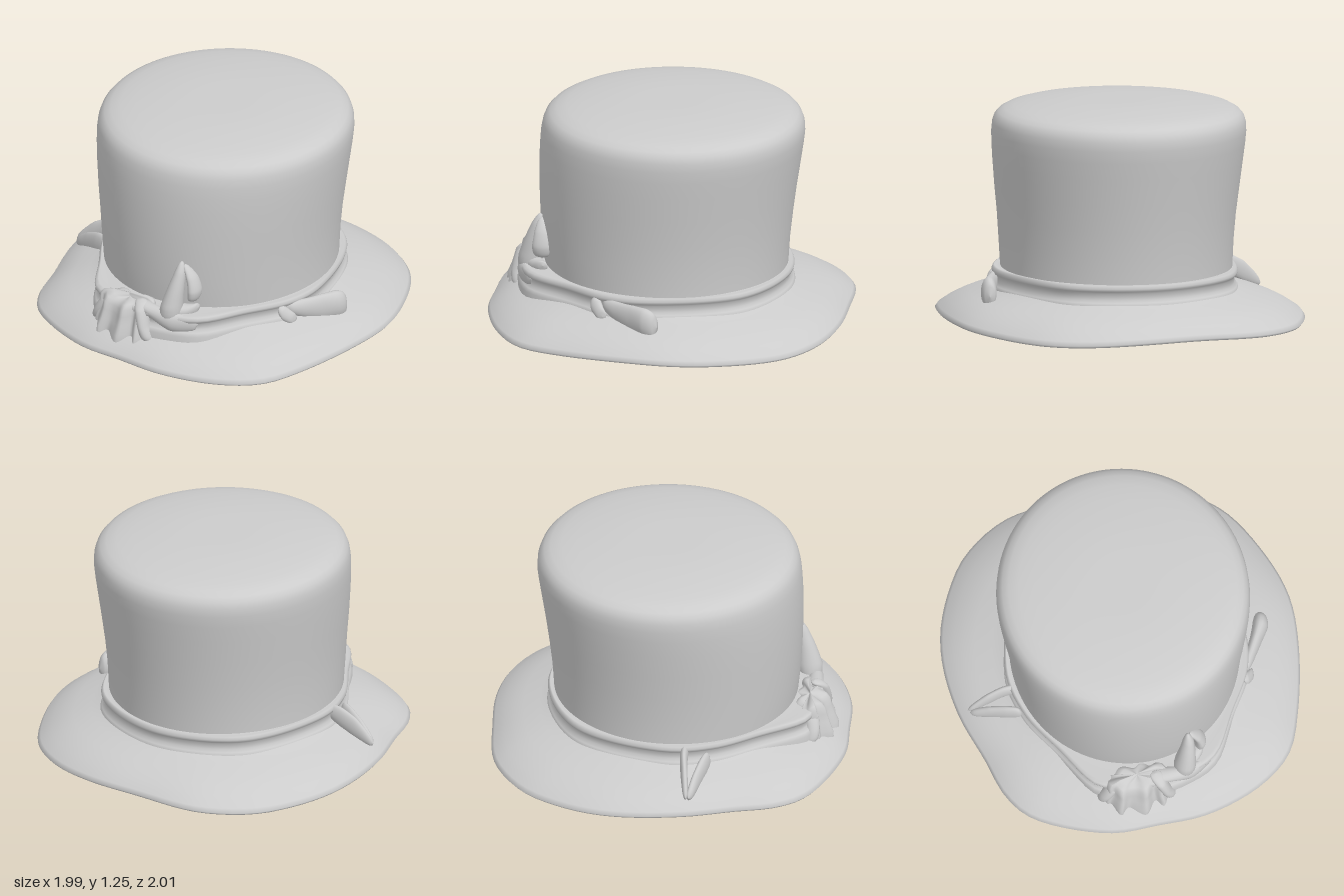
import * as THREE from 'three';

const N = 96;
const material = new THREE.MeshStandardMaterial({ color: 0xcccccc, side: THREE.DoubleSide });
const V = (x, y, z) => new THREE.Vector3(x, y, z);
const lerp = THREE.MathUtils.lerp;
const angles = Array.from({ length: N }, (_, i) => (i / N) * Math.PI * 2);

// Skin a list of closed rings (arrays of Vector3 of equal length)
function loft(name, rings) {
  const n = rings[0].length, pos = [], idx = [];
  rings.forEach(r => r.forEach(p => pos.push(p.x, p.y, p.z)));
  for (let j = 0; j < rings.length - 1; j++) {
    for (let i = 0; i < n; i++) {
      const a = j * n + i, b = j * n + (i + 1) % n;
      idx.push(a, a + n, b, b, a + n, b + n);
    }
  }
  const g = new THREE.BufferGeometry();
  g.setAttribute('position', new THREE.Float32BufferAttribute(pos, 3));
  g.setIndex(idx);
  g.computeVertexNormals();
  const mesh = new THREE.Mesh(g, material);
  mesh.name = name;
  return mesh;
}

// Plan outline through [x, z] points, resampled at equal angles
function outline(pts) {
  const curve = new THREE.CatmullRomCurve3(pts.map(([x, z]) => V(x, 0, z)), true);
  const dense = curve.getPoints(1500);
  return angles.map(t => {
    const c = Math.cos(t), s = Math.sin(t);
    let best = dense[0], top = -2;
    for (const p of dense) {
      const d = (p.x * c + p.z * s) / Math.hypot(p.x, p.z);
      if (d > top) { top = d; best = p; }
    }
    return best;
  });
}

// Crown ring: height, half width, front z and back z
const crownRing = (y, rx, front, back) => angles.map(t =>
  V(rx * Math.cos(t), y, (front + back) / 2 + (front - back) / 2 * Math.sin(t)));

const mix = (a, b, k, y) => a.map((p, i) => V(lerp(p.x, b[i].x, k), y, lerp(p.z, b[i].z, k)));

// Cloth fold: elliptical sections [x, y, z, halfU, halfV] swept on a curve
function fold(name, secs, u, v) {
  const curve = new THREE.CatmullRomCurve3(secs.map(s => V(s[0], s[1], s[2])));
  const steps = 28, sides = 18, rings = [];
  const U = u.clone().normalize(), W = v.clone().normalize();
  const along = curve.getPoint(1).sub(curve.getPoint(0));
  if (along.cross(W).dot(U) < 0) W.negate();
  for (let j = 0; j <= steps; j++) {
    const t = j / steps, f = t * (secs.length - 1);
    const k = Math.min(Math.floor(f), secs.length - 2), e = f - k;
    const a = lerp(secs[k][3], secs[k + 1][3], e);
    const b = lerp(secs[k][4], secs[k + 1][4], e);
    const end = Math.sqrt(Math.max(0, 1 - Math.pow(Math.abs(2 * t - 1), 8)));
    const c = curve.getPoint(t);
    rings.push(Array.from({ length: sides }, (_, i) => {
      const q = i / sides * Math.PI * 2;
      return c.clone().addScaledVector(U, a * end * Math.cos(q)).addScaledVector(W, b * end * Math.sin(q));
    }));
  }
  return loft(name, rings);
}

function group(name, ...parts) {
  const g = new THREE.Group();
  g.name = name;
  return g.add(...parts);
}

export function createModel() {
  const edge = outline([[0.98, 0.1], [0.9, 0.48], [0.8, 0.72], [0.6, 0.88], [0.28, 0.99], [0, 1], [-0.28, 0.99],
    [-0.69, 0.81], [-0.81, 0.65], [-0.88, 0.42], [-0.97, 0.14], [-1, -0.15], [-0.97, -0.38], [-0.87, -0.62],
    [-0.74, -0.8], [-0.48, -0.96], [-0.1, -1], [0.22, -1], [0.5, -0.93], [0.72, -0.78], [0.89, -0.5], [0.985, -0.2]]);
  const base = crownRing(0.2, 0.645, 0.7, -0.655);
  const centre = angles.map(() => V(0, 0, 0));

  // Brim: dished underside, rolled edge, slope up to the crown
  const brim = loft('brim', [
    [centre, 1, 0.115], [centre, 0.7, 0.112], [centre, 0.45, 0.104], [centre, 0.3, 0.094], [centre, 0.2, 0.08],
    [centre, 0.12, 0.058], [centre, 0.06, 0.032], [centre, 0.025, 0.014], [centre, 0.01, 0.012],
    [base, 0, 0.025], [base, 0.04, 0.047], [base, 0.2, 0.088], [base, 0.35, 0.117], [base, 0.5, 0.14],
    [base, 0.75, 0.17], [base, 1, 0.2], [base, 1.03, 0.22],
  ].map(([to, k, y]) => {
    const w = 0.009 * Math.max(0, 1 - k * 1.6);
    return mix(edge, to, k, y).map((p, i) => V(p.x, p.y + w * Math.cos(4 * angles[i]), p.z));
  }));

  // Crown: flares upward, soft shoulder, flat top
  const crown = loft('crown', [
    [0.17, 0.645, 0.69, -0.655], [0.3, 0.645, 0.71, -0.66], [0.45, 0.652, 0.725, -0.67], [0.6, 0.663, 0.733, -0.687],
    [0.75, 0.68, 0.738, -0.707], [0.9, 0.696, 0.738, -0.73], [1.0, 0.706, 0.733, -0.745], [1.07, 0.71, 0.727, -0.754],
    [1.12, 0.707, 0.717, -0.751], [1.155, 0.696, 0.702, -0.738], [1.18, 0.675, 0.678, -0.716], [1.2, 0.64, 0.64, -0.68],
    [1.215, 0.585, 0.585, -0.62], [1.228, 0.5, 0.5, -0.53], [1.24, 0.39, 0.39, -0.41], [1.249, 0.26, 0.26, -0.28],
    [1.249, 0.12, 0.12, -0.14], [1.248, 0, 0, 0],
  ].map(r => crownRing(...r)));

  // Band: grooved strip that stands away from the crown at the front
  const band = outline([[0, -0.685], [0.47, -0.5], [0.67, 0], [0.65, 0.25], [0.51, 0.5], [0.37, 0.73], [0.2, 0.81],
    [0, 0.84], [-0.2, 0.81], [-0.31, 0.77], [-0.47, 0.53], [-0.62, 0.28], [-0.67, 0], [-0.47, -0.5]]);
  const neck = crownRing(0.3, 0.635, 0.7, -0.65);
  const hatBand = loft('hatBand', [
    ...[[-0.025, 0.12], [-0.025, 0.18], [-0.008, 0.2], [0.015, 0.215], [0.015, 0.25],
      [-0.01, 0.265], [-0.015, 0.28], [-0.006, 0.296]].map(([k, y]) => mix(band, centre, k, y)),
    ...[[0.1, 0.302], [0.4, 0.295], [1, 0.3]].map(([k, y]) => mix(band, neck, k, y)),
  ]);

  const X = V(1, 0, 0), Y = V(0, 1, 0), Z = V(0, 0, 1);

  // Front bow: pleated cloth leaning back, with a tied strip along its top
  const pleats = loft('pleats', [
    [0.1, 0.2, 0.8, 0.125], [0.14, 0.2, 0.8, 0.12], [0.19, 0.185, 0.8, 0.1], [0.24, 0.18, 0.795, 0.09],
    [0.28, 0.18, 0.79, 0.085], [0.305, 0.165, 0.785, 0.07], [0.315, 0.12, 0.78, 0.045], [0.315, 0, 0.78, 0],
  ].map(([y, w, z, d]) => angles.map(t => {
    const wave = 1 + 0.2 * Math.sin(9 * t + 4 * y) + 0.06 * Math.cos(14 * t);
    return V(-0.08 + w * Math.cos(t), y + 0.02 * Math.cos(t - 2.6) * Math.sin(3 * t), z + d * Math.sin(t) * wave);
  })));
  const bow = group('frontBow', pleats,
    fold('bowEnd', [[-0.29, 0.12, 0.8, 0.03, 0.04], [-0.26, 0.19, 0.81, 0.035, 0.04],
      [-0.22, 0.26, 0.8, 0.035, 0.04], [-0.19, 0.29, 0.79, 0.03, 0.03]], X, Z),
    fold('bowRidge', [[0.1, 0.11, 0.85, 0.04, 0.04], [0.07, 0.2, 0.85, 0.032, 0.045],
      [0.04, 0.29, 0.83, 0.035, 0.045], [0.02, 0.335, 0.8, 0.04, 0.03]], X, Z),
    fold('bowStrip', [[0, 0.31, 0.8, 0.025, 0.05], [0.1, 0.28, 0.8, 0.04, 0.045],
      [0.22, 0.25, 0.79, 0.06, 0.04], [0.36, 0.25, 0.73, 0.05, 0.02]], Y, V(0.2, 0, 1)));

  // Pointed loop rising against the crown
  const loop = group('uprightLoop',
    fold('loopBody', [[0.19, 0.24, 0.77, 0.07, 0.07], [0.2, 0.34, 0.76, 0.06, 0.07], [0.215, 0.45, 0.74, 0.045, 0.05],
      [0.225, 0.54, 0.715, 0.03, 0.035], [0.225, 0.6, 0.7, 0.012, 0.015]], X, Z),
    fold('loopSide', [[0.29, 0.36, 0.68, 0.03, 0.05], [0.3, 0.43, 0.68, 0.032, 0.055], [0.28, 0.51, 0.68, 0.026, 0.045],
      [0.24, 0.58, 0.69, 0.014, 0.02]], X, Z),
    fold('loopFoot', [[0.14, 0.29, 0.78, 0.03, 0.04], [0.2, 0.3, 0.75, 0.04, 0.06], [0.28, 0.3, 0.7, 0.04, 0.05],
      [0.32, 0.32, 0.67, 0.03, 0.03]], Y, Z));

  // Ribbon end on the left side of the brim
  const leftTail = group('leftRibbonEnd',
    fold('leftTailStrip', [[0.63, 0.24, 0.27, 0.04, 0.03], [0.69, 0.215, 0.17, 0.06, 0.03], [0.74, 0.2, 0.08, 0.08, 0.035],
      [0.78, 0.195, 0, 0.085, 0.045], [0.8, 0.18, -0.07, 0.08, 0.04]], Y, V(1, 0, 0.5)),
    fold('leftTailKnot', [[0.62, 0.25, 0.31, 0.03, 0.03], [0.65, 0.22, 0.3, 0.04, 0.035], [0.69, 0.18, 0.26, 0.03, 0.03]], Y, Z));

  // Forked ribbon end on the right side of the brim
  const rightTail = group('rightRibbonEnd',
    fold('rightTailUpper', [[-0.63, 0.26, 0.12, 0.045, 0.025], [-0.72, 0.235, 0.12, 0.06, 0.022], [-0.81, 0.19, 0.13, 0.06, 0.02],
      [-0.92, 0.115, 0.145, 0.03, 0.015]], Y, Z),
    fold('rightTailLower', [[-0.63, 0.2, 0.25, 0.07, 0.025], [-0.72, 0.18, 0.22, 0.07, 0.028], [-0.81, 0.15, 0.19, 0.06, 0.025],
      [-0.91, 0.11, 0.16, 0.03, 0.02]], Y, Z));

  return group('topHat', brim, crown, hatBand, bow, loop, leftTail, rightTail);
}
